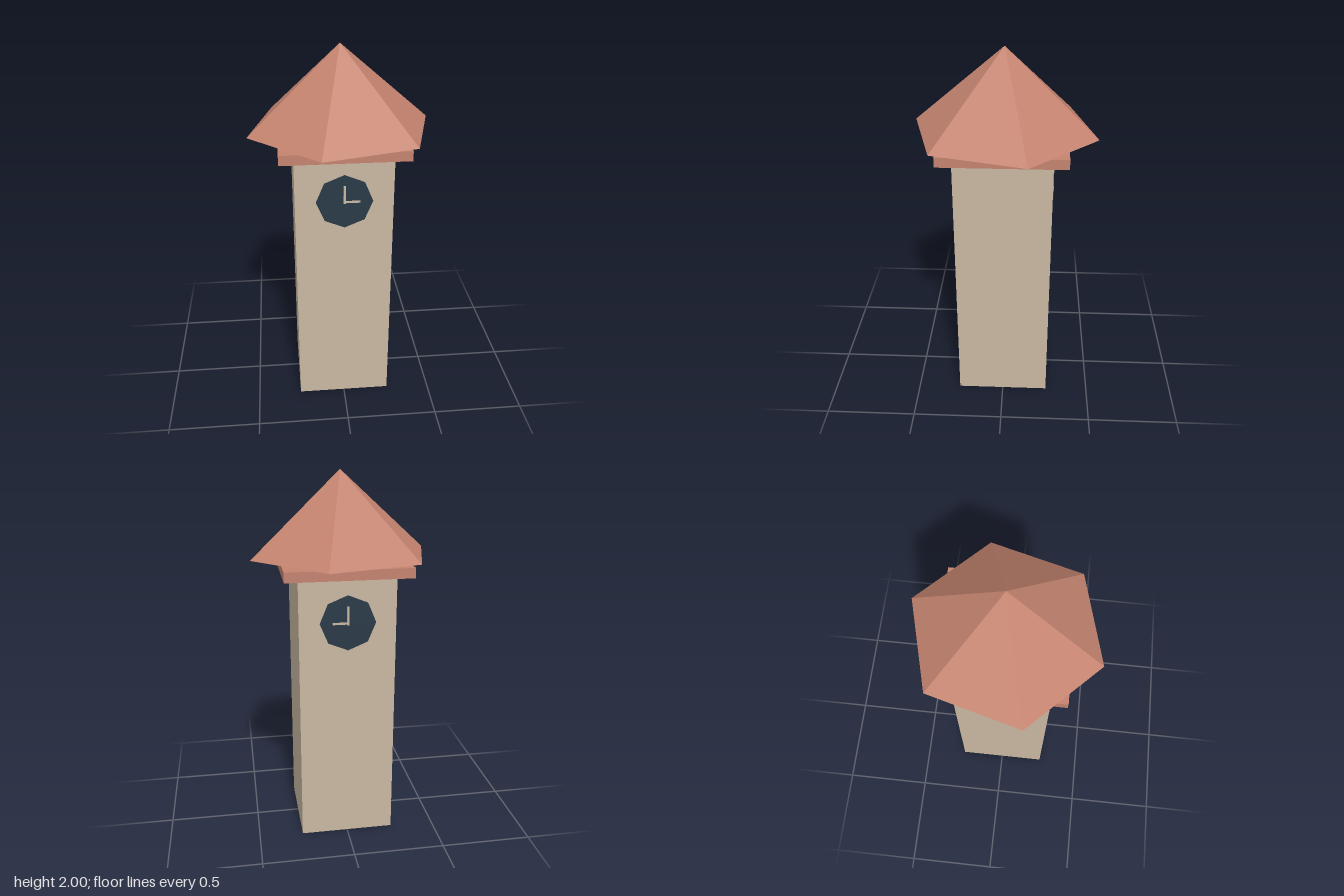
import * as THREE from 'three';

const material = (color) => new THREE.MeshStandardMaterial({ color, flatShading: true });
const stone = material(0xc9b8a2);
const tile = material(0xc4836f);
const dark = material(0x2a3a48);

function add(parent, name, geometry, mat, x, y, z) {
  const mesh = new THREE.Mesh(geometry, mat);
  mesh.name = name;
  mesh.position.set(x, y, z);
  parent.add(mesh);
  return mesh;
}

export function createModel() {
  const tower = new THREE.Group();
  tower.name = 'clockTower';

  // Square shaft and the slab that caps it
  add(tower, 'shaft', new THREE.BoxGeometry(0.514, 1.488, 0.514), stone, 0, 0.744, 0);
  add(tower, 'cornice', new THREE.BoxGeometry(0.664, 0.053, 0.664), tile, 0, 1.5145, 0);

  // Six-sided roof, turned against the shaft and set just above the cornice
  const roof = add(tower, 'roof', new THREE.ConeGeometry(0.503, 0.438, 6), tile, 0, 1.781, 0);
  roof.rotation.y = Math.PI / 4;

  // Clocks on the front and back, both with the short hand towards +x
  for (const [name, side] of [['frontClock', 1], ['backClock', -1]]) {
    const clock = new THREE.Group();
    clock.name = name;
    clock.position.set(0, 1.247, side * 0.257);
    const face = add(clock, 'clockFace', new THREE.CylinderGeometry(0.148, 0.148, 0.014, 8), dark, 0, 0, 0);
    face.rotation.x = Math.PI / 2;
    add(clock, 'minuteHand', new THREE.BoxGeometry(0.011, 0.1, 0.006), stone, 0, 0.04, side * 0.008);
    add(clock, 'hourHand', new THREE.BoxGeometry(0.08, 0.011, 0.006), stone, 0.041, 0, side * 0.008);
    tower.add(clock);
  }

  return tower;
}
